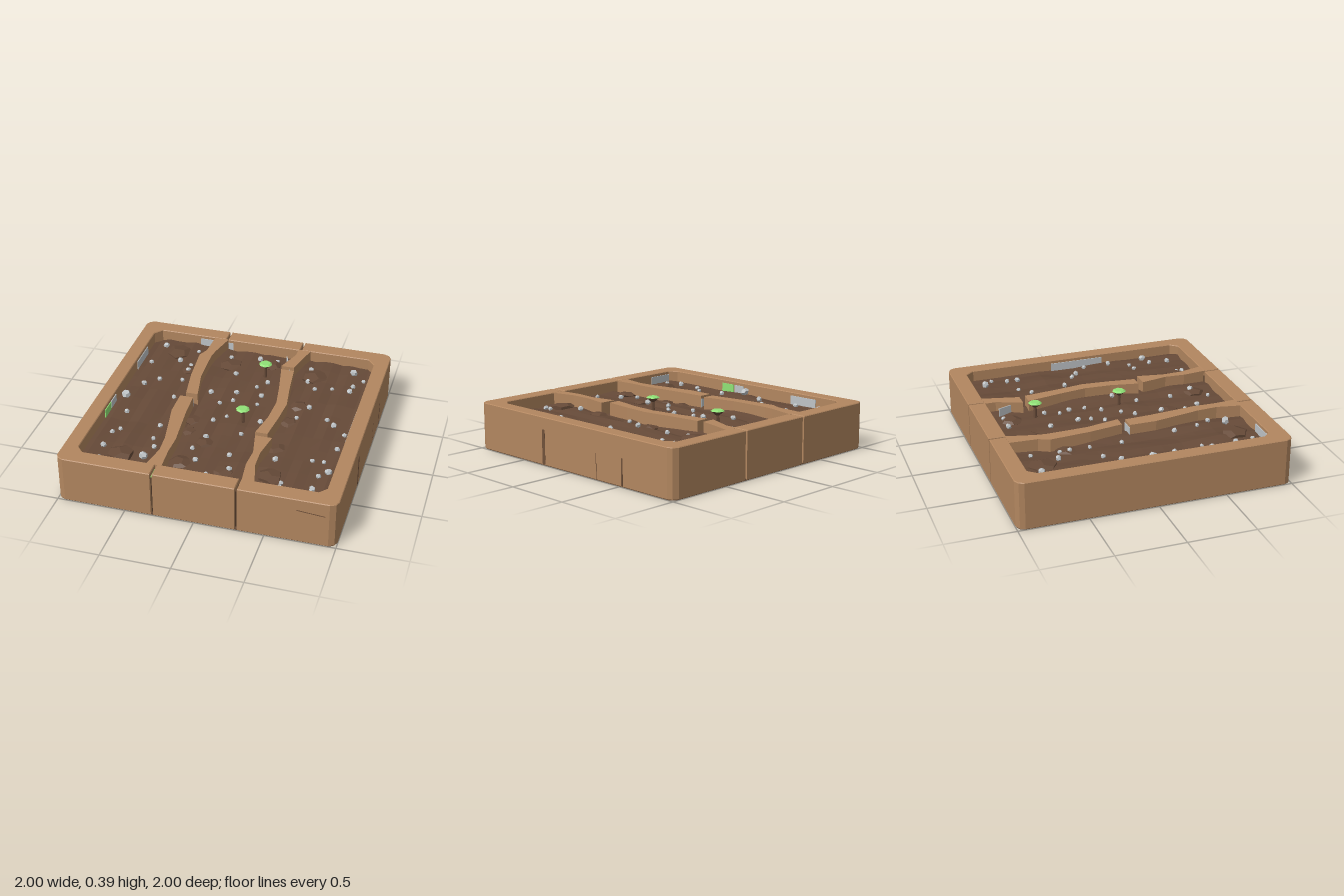
import * as THREE from 'three';

const mat = (name, color) => Object.assign(new THREE.MeshStandardMaterial({ color, flatShading: true }), { name });

export function createModel() {
  const group = new THREE.Group();
  const wood = mat('clay wood', 0xb2865f);
  const soilMat = mat('soil brown', 0x664a38);
  const dark = mat('seam brown', 0x4a3526);
  const crack = mat('crack brown', 0x70513a);
  const grey = mat('stone grey', 0xbfc4c7);
  const green = mat('leaf green', 0x90e276);

  const add = (name, geo, material, x = 0, y = 0, z = 0, parent = group) => {
    const m = new THREE.Mesh(geo, material);
    m.name = name;
    m.position.set(x, y, z);
    parent.add(m);
    return m;
  };

  // Extrudes an outline of [x, z] points upward from y0 to y1
  const slab = (pts, y0, y1, bevel = 0) => {
    const shape = new THREE.Shape(pts.map(([x, z]) => new THREE.Vector2(x, -z)));
    const geo = new THREE.ExtrudeGeometry(shape, {
      depth: y1 - y0 - 2 * bevel, bevelEnabled: bevel > 0, bevelSize: bevel,
      bevelThickness: bevel, bevelOffset: -bevel, bevelSegments: 1,
    });
    return geo.rotateX(-Math.PI / 2).translate(0, y0 + bevel, 0);
  };
  const flip = (pts, sx, sz) => pts.map(([x, z]) => [x * sx, z * sz]);

  // Underside
  const corner = [[1, 0.955], [0.985, 0.985], [0.955, 1]];
  const outline = [
    ...corner, ...flip(corner, -1, 1).reverse(),
    ...flip(corner, -1, -1), ...flip(corner, 1, -1).reverse(),
  ];
  add('base', slab(flip(outline, 0.994, 0.994), 0, 0.012), soilMat);

  // Frame: two C-shaped sides and two middle blocks, parted by narrow seams
  const half = [
    [0.308, 1], [0.945, 1], [0.985, 0.98], [1, 0.945], [1, -0.945], [0.985, -0.98], [0.945, -1], [0.308, -1],
    [0.308, -0.88], [0.84, -0.88], [0.89, -0.82], [0.89, 0.82], [0.84, 0.875], [0.308, 0.875],
  ];
  for (const s of [1, -1]) {
    add(s > 0 ? 'leftFrame' : 'rightFrame', slab(flip(half, s, 1), 0.002, 0.35, 0.005), wood);
    const block = [[-0.292, 0.875], [0.292, 0.875], [0.292, 1], [-0.292, 1]];
    add(s > 0 ? 'frontBlock' : 'backBlock', slab(flip(block, 1, s), 0.002, 0.35, 0.005), wood);
    for (const x of [-0.3, 0.3]) {
      add('seam', new THREE.BoxGeometry(0.02, 0.3, 0.1), dark, x, 0.16, s * 0.925);
    }
  }
  add('mossStrip', new THREE.BoxGeometry(0.014, 0.008, 0.1), green, -0.3, 0.313, 0.93);

  // Cracks in the outer walls
  for (const [z, w, h] of [[0.28, 0.03, 0.25], [-0.525, 0.016, 0.19], [-0.27, 0.004, 0.18]]) {
    add('wallCrack', new THREE.BoxGeometry(0.004, h, w), crack, 0.999, 0.01 + h / 2, z);
  }
  add('wallCrack', new THREE.BoxGeometry(0.2, 0.006, 0.004), crack, 0.82, 0.255, 0.999).rotation.z = -0.08;

  // Soil: a block whose top is raked into long uneven furrows
  const soilY = (x, z) => 0.265 + 0.009 * Math.sin(x * 29 + 1.2 * Math.sin(z * 2.3))
    + 0.007 * Math.sin(x * 13 + z * 5 + 2 * Math.sin(z * 4 - x * 7));
  const soil = new THREE.BoxGeometry(1.84, 0.2, 1.8, 26, 1, 12);
  const pos = soil.attributes.position;
  for (let i = 0; i < pos.count; i++) {
    pos.setY(i, pos.getY(i) > 0 ? soilY(pos.getX(i), pos.getZ(i)) : 0.008);
  }
  add('soil', soil, soilMat);

  // Flattened clods of earth: x, z, radius
  const clods = [
    [-0.65, -0.72, 0.11], [-0.2, -0.66, 0.1], [0.1, -0.73, 0.08], [0.46, -0.66, 0.11], [-0.25, 0.16, 0.07],
    [-0.24, 0.31, 0.06], [0.43, 0, 0.07], [0.45, -0.22, 0.07], [-0.62, 0.72, 0.1], [0.46, 0.7, 0.09],
    [-0.19, 0.7, 0.08], [-0.1, 0.42, 0.07], [-0.48, -0.5, 0.08], [0.14, 0.72, 0.08], [0.42, 0.35, 0.07],
  ];
  clods.forEach(([x, z, r], i) => {
    const geo = new THREE.DodecahedronGeometry(r, 0).rotateY(i * 1.3).rotateX(i * 0.7).scale(1, 0.3, 1);
    add('clod', geo, soilMat, x, soilY(x, z), z);
  });

  // Winding dividers: rows of [z, xMin, xMax]
  const dividers = [
    [[-0.885, -0.4, -0.29], [-0.68, -0.41, -0.34], [-0.6, -0.445, -0.35], [-0.3, -0.42, -0.34], [-0.05, -0.38, -0.29]],
    [[0, -0.41, -0.31], [0.2, -0.41, -0.3], [0.55, -0.345, -0.265], [0.7, -0.335, -0.27], [0.88, -0.37, -0.26]],
    [[-0.885, 0.28, 0.38], [-0.8, 0.28, 0.355], [-0.61, 0.21, 0.31]],
    [[-0.565, 0.22, 0.32], [-0.3, 0.27, 0.35], [-0.1, 0.3, 0.38], [0.1, 0.29, 0.365], [0.31, 0.25, 0.34]],
    [[0.35, 0.26, 0.385], [0.55, 0.3, 0.35], [0.7, 0.29, 0.355], [0.88, 0.31, 0.4]],
  ];
  for (const rows of dividers) {
    const pts = [...rows.map(([z, a]) => [a, z]), ...rows.map(([z, , b]) => [b, z]).reverse()];
    add('divider', slab(pts, 0.2, 0.348), wood);
  }

  // Grey and mossy patches on inner walls and dividers: x, z, length, turn about y
  const along = Math.PI / 2;
  const patches = [
    [-0.888, -0.52, 0.24, along, grey], [-0.888, 0.13, 0.1, along, grey], [-0.888, 0.25, 0.12, along, green],
    [0.888, 0.02, 0.42, along, grey], [-0.74, 0.873, 0.2, 0, grey], [-0.46, -0.878, 0.12, 0, grey],
    [-0.36, 0, 0.1, 0, grey], [0.243, -0.7, 0.2, 1.92, grey], [-0.268, -0.878, 0.04, 0, grey],
  ];
  for (const [x, z, len, turn, material] of patches) {
    add('wallPatch', new THREE.BoxGeometry(len, 0.08, 0.008), material, x, 0.285, z).rotation.y = turn;
  }

  // Stones scattered over the soil
  const small = [
    -0.5, -0.76, -0.23, -0.76, 0, -0.78, 0.14, -0.78, 0.42, -0.74, 0.84, -0.69, -0.81, -0.51, -0.6, -0.59,
    -0.5, -0.55, -0.5, -0.48, -0.5, -0.33, -0.67, -0.29, -0.76, -0.19, -0.49, -0.09, -0.12, -0.5, 0.08, -0.37,
    0.14, -0.47, -0.05, -0.27, -0.05, -0.17, 0.14, -0.28, 0.14, -0.16, 0.04, -0.06, -0.24, -0.23, -0.13, -0.09,
    0.43, -0.58, 0.63, -0.53, 0.78, -0.58, 0.77, -0.5, 0.51, -0.46, 0.53, -0.19, 0.47, -0.04, 0.69, -0.08,
    0.75, -0.03, 0.85, 0.07, -0.76, 0.2, -0.73, 0.42, -0.77, 0.48, -0.77, 0.66, -0.75, 0.8, -0.46, 0.32,
    -0.45, 0.5, -0.41, 0.6, -0.1, 0.36, -0.15, 0.53, -0.09, 0.65, 0.03, 0.79, 0.12, 0.52, 0.17, 0.7,
    0.13, 0.25, 0.23, 0.09, -0.03, 0.07, -0.11, 0.15, 0.45, 0.51, 0.55, 0.74, 0.55, 0.79, 0.78, 0.43,
    0.78, 0.6, 0.77, 0.75, 0.7, 0.44, 0.84, 0.27,
  ];
  const large = [-0.77, -0.76, 0.75, -0.76, -0.83, 0.02, 0.84, 0.56, -0.45, 0.72];
  const pebble = new THREE.DodecahedronGeometry(1, 0);
  const scatter = (list, size) => {
    for (let i = 0; i < list.length; i += 2) {
      const [x, z] = [list[i], list[i + 1]];
      const r = size * (0.85 + 0.15 * (i % 5) / 2);
      const stone = add('stone', pebble, grey, x, soilY(x, z) + r * 0.6, z);
      stone.scale.set(r, r * 0.85, r);
      stone.rotation.set(i, i * 1.7, 0);
    }
  };
  scatter(small, 0.02);
  scatter(large, 0.03);

  // Seedlings: stem, dark cup and green leaf cap
  for (const z of [0.1, -0.55]) {
    const plant = new THREE.Group();
    plant.name = 'seedling';
    plant.position.set(0.1, 0, z);
    group.add(plant);
    add('stem', new THREE.CylinderGeometry(0.011, 0.016, 0.14, 6), soilMat, 0, 0.29, 0, plant);
    add('leafCup', new THREE.CylinderGeometry(0.05, 0.012, 0.032, 8), soilMat, 0, 0.366, 0, plant);
    add('leafCap', new THREE.CylinderGeometry(0.036, 0.051, 0.01, 8), green, 0, 0.387, 0, plant);
  }
  return group;
}
